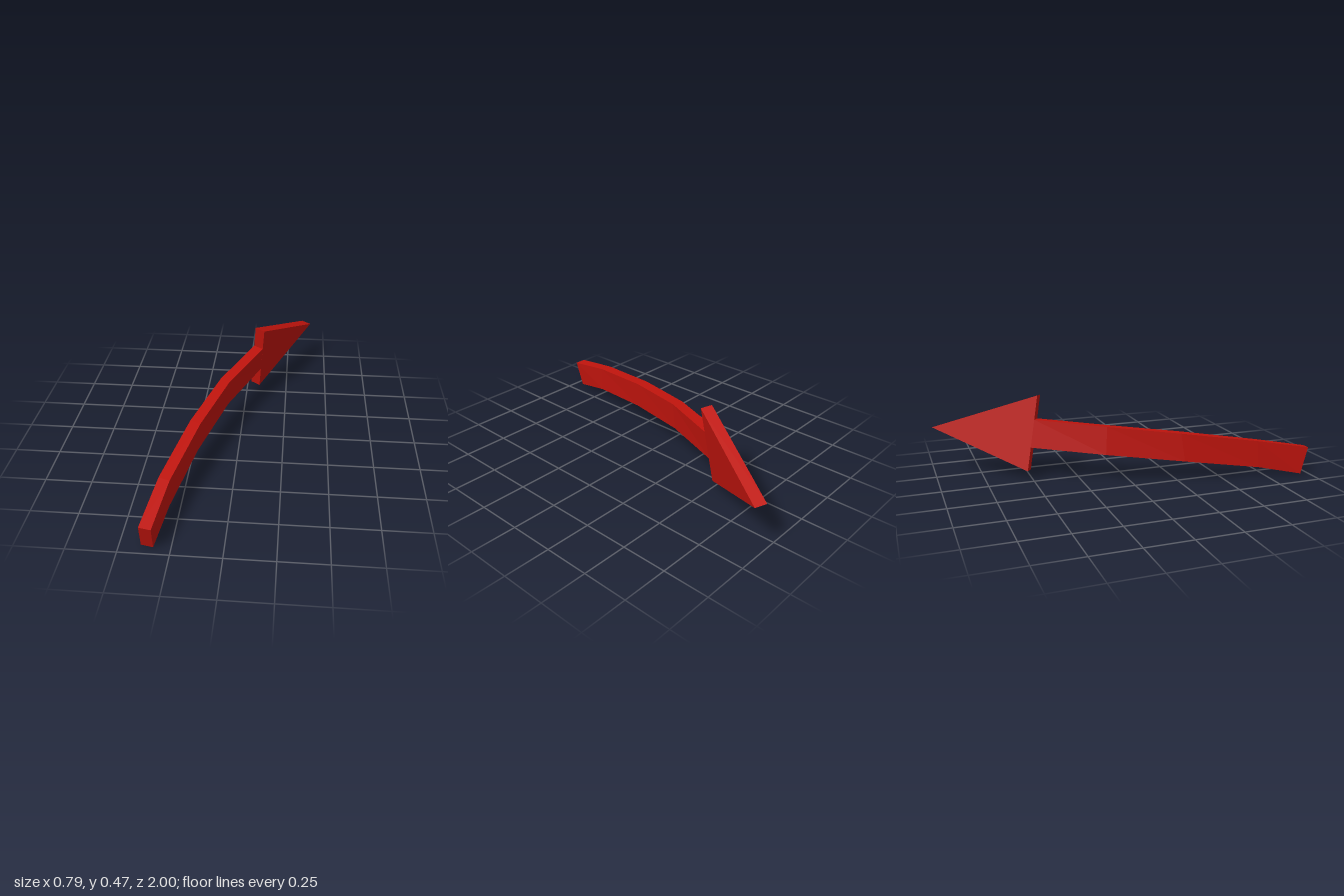
import * as THREE from 'three';

const material = new THREE.MeshStandardMaterial({ color: 0xc0140d, flatShading: true });

// Joins rings of corners into a closed, flat-faced solid.
// Rings run clockwise when seen from the starting end.
function loft(name, rings) {
  const n = rings[0].length;
  const positions = [];
  const tri = (a, b, c) => positions.push(...a, ...b, ...c);
  for (let s = 0; s < rings.length - 1; s++) {
    for (let i = 0; i < n; i++) {
      const j = (i + 1) % n;
      const a = rings[s][i], b = rings[s][j], c = rings[s + 1][j], d = rings[s + 1][i];
      tri(a, b, c);
      tri(a, c, d);
    }
  }
  const first = rings[0], last = rings[rings.length - 1];
  for (let i = 1; i < n - 1; i++) {
    tri(first[0], first[i + 1], first[i]);
    tri(last[0], last[i], last[i + 1]);
  }
  const geometry = new THREE.BufferGeometry();
  geometry.setAttribute('position', new THREE.Float32BufferAttribute(positions, 3));
  geometry.computeVertexNormals();
  const mesh = new THREE.Mesh(geometry, material);
  mesh.name = name;
  return mesh;
}

const add = (p, o) => p.map((v, i) => v + o[i]);

export function createModel() {
  const group = new THREE.Group();
  group.name = 'curvedArrow';

  // Shaft stations: inner top corner, inner bottom corner, step across the thickness
  const stations = [
    [[-0.328, 0.15, 1.0], [-0.335, 0.001, 0.955], [-0.06, 0.005, -0.008]],
    [[-0.288, 0.204, 0.705], [-0.295, 0.053, 0.715], [-0.057, 0.005, -0.016]],
    [[-0.19, 0.262, 0.29], [-0.205, 0.105, 0.31], [-0.057, 0.004, -0.022]],
    [[-0.07, 0.302, -0.09], [-0.08, 0.147, -0.1], [-0.053, 0.005, -0.026]],
    [[0.099, 0.331, -0.45], [0.089, 0.178, -0.477], [-0.054, 0.007, -0.029]],
  ];
  group.add(loft('shaft', stations.map(([top, bottom, across]) =>
    [top, bottom, add(bottom, across), add(top, across)])));

  // Triangular head, as thick as the shaft
  const face = [[0.108, 0.462, -0.427], [0.393, 0.26, -0.971], [0.08, 0.045, -0.5]];
  group.add(loft('head', [face, face.map((p) => add(p, [-0.054, 0.008, -0.029]))]));

  return group;
}
